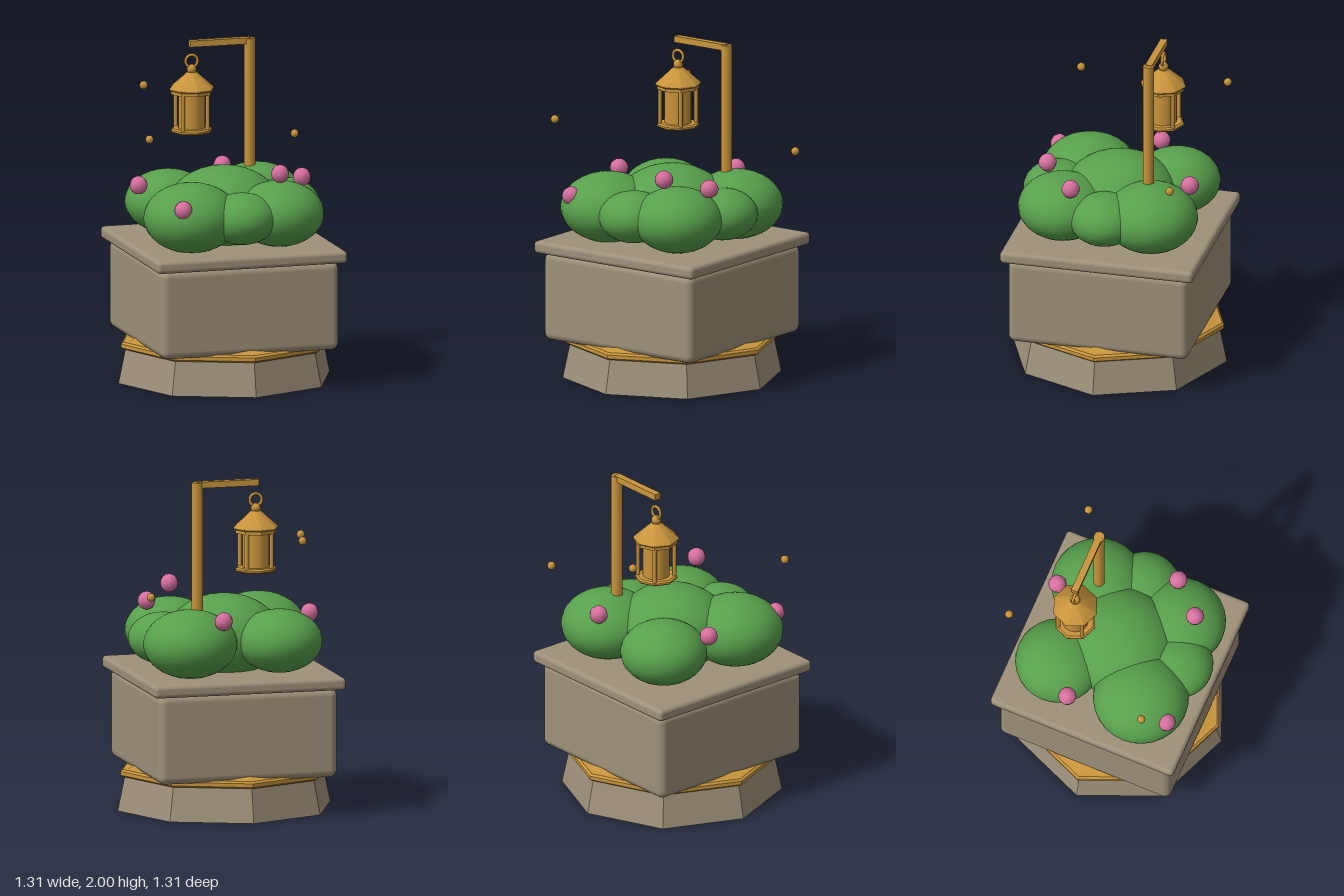
import * as THREE from 'three';
import { RoundedBoxGeometry } from 'three/addons/geometries/RoundedBoxGeometry.js';
import { toCreasedNormals } from 'three/addons/utils/BufferGeometryUtils.js';

function material(name, color) {
  const m = new THREE.MeshStandardMaterial({ color });
  m.name = name;
  return m;
}

export function createModel() {
  const stone = material('stone', 0x9e917a);
  const gold = material('gold', 0xc9953c);
  const leaf = material('leaf green', 0x58a04c);
  const pink = material('blossom pink', 0xd8709f);

  const model = new THREE.Group();
  model.name = 'lanternPlanter';

  function add(parent, name, geometry, mat, x = 0, y = 0, z = 0) {
    const mesh = new THREE.Mesh(geometry, mat);
    mesh.name = name;
    mesh.position.set(x, y, z);
    parent.add(mesh);
    return mesh;
  }
  const lathe = (pairs, sides) =>
    new THREE.LatheGeometry(pairs.map(([r, y]) => new THREE.Vector2(r, y)), sides);
  const crease = (g) => toCreasedNormals(g, 0.6);

  // Octagonal foot with a gold trim sloping up under the box
  add(model, 'foot', crease(new THREE.CylinderGeometry(0.612, 0.655, 0.205, 8)), stone, 0, 0.1025, 0);
  add(model, 'footTrim', crease(lathe([
    [0.58, 0.2], [0.625, 0.205], [0.638, 0.215], [0.638, 0.237], [0.625, 0.249], [0.59, 0.25], [0.53, 0.274], [0, 0.274],
  ], 8)), gold);

  // Planter box and lid
  add(model, 'planterBox', new RoundedBoxGeometry(1.1, 0.535, 1.1, 4, 0.045), stone, 0, 0.5025, 0);
  add(model, 'planterLid', new RoundedBoxGeometry(1.18, 0.075, 1.18, 4, 0.025), stone, 0, 0.802, 0);

  // Bush of flattened spheres: x, z, radius
  const bush = new THREE.Group();
  bush.name = 'bush';
  model.add(bush);
  for (const [x, z, r] of [
    [0, 0, 0.34], [-0.26, -0.285, 0.258], [0.28, -0.26, 0.28], [-0.28, 0.255, 0.285],
    [0.255, 0.285, 0.267], [0.375, 0, 0.21], [0, 0.375, 0.21],
  ]) {
    add(bush, 'bushClump', new THREE.SphereGeometry(r, 28, 20), leaf, x, 1.03, z).scale.y = 0.73;
  }

  // Blossoms and fireflies
  for (const [x, y, z] of [
    [0.13, 1.19, -0.46], [-0.49, 1.165, -0.13], [0.423, 1.225, 0.195], [0.23, 1.29, 0.385], [-0.395, 1.12, 0.47],
  ]) {
    add(model, 'blossom', new THREE.SphereGeometry(0.055, 10, 8), pink, x, y, z);
  }
  for (const [x, y, z] of [[-0.58, 1.545, 0.385], [-0.322, 1.675, -0.578], [0.576, 1.355, -0.45]]) {
    add(model, 'firefly', new THREE.SphereGeometry(0.025, 10, 8), gold, x, y, z);
  }

  // Lamp post and arm
  add(model, 'lampPost', new THREE.CylinderGeometry(0.034, 0.034, 1, 10), gold, 0.23, 1.495, -0.233);
  add(model, 'lampArm', new THREE.BoxGeometry(0.375, 0.038, 0.042), gold, 0.044, 1.981, -0.233);

  // Hanging lantern
  const lantern = new THREE.Group();
  lantern.name = 'lantern';
  lantern.position.set(-0.13, 0, -0.233);
  model.add(lantern);
  add(lantern, 'lanternRing', new THREE.TorusGeometry(0.037, 0.009, 8, 20), gold, 0, 1.876, 0);
  add(lantern, 'lanternKnob', new THREE.SphereGeometry(0.029, 14, 10), gold, 0, 1.827, 0);
  add(lantern, 'lanternRoof', crease(lathe([
    [0, 1.7], [0.13, 1.7], [0.138, 1.708], [0.134, 1.717], [0.03, 1.81], [0, 1.812],
  ], 8)), gold);
  add(lantern, 'lanternCollar', crease(new THREE.CylinderGeometry(0.126, 0.126, 0.022, 8)), gold, 0, 1.691, 0);
  add(lantern, 'lanternCore', new THREE.CylinderGeometry(0.08, 0.08, 0.22, 16), gold, 0, 1.575, 0);
  add(lantern, 'lanternTray', crease(lathe([
    [0, 1.446], [0.115, 1.446], [0.126, 1.454], [0.126, 1.464], [0.115, 1.473], [0, 1.473],
  ], 8)), gold);
  for (let i = 0; i < 4; i++) {
    const a = Math.PI / 4 + (i * Math.PI) / 2;
    add(lantern, 'lanternBar', new THREE.CylinderGeometry(0.013, 0.013, 0.22, 8), gold,
      0.108 * Math.cos(a), 1.575, 0.108 * Math.sin(a));
  }

  return model;
}
